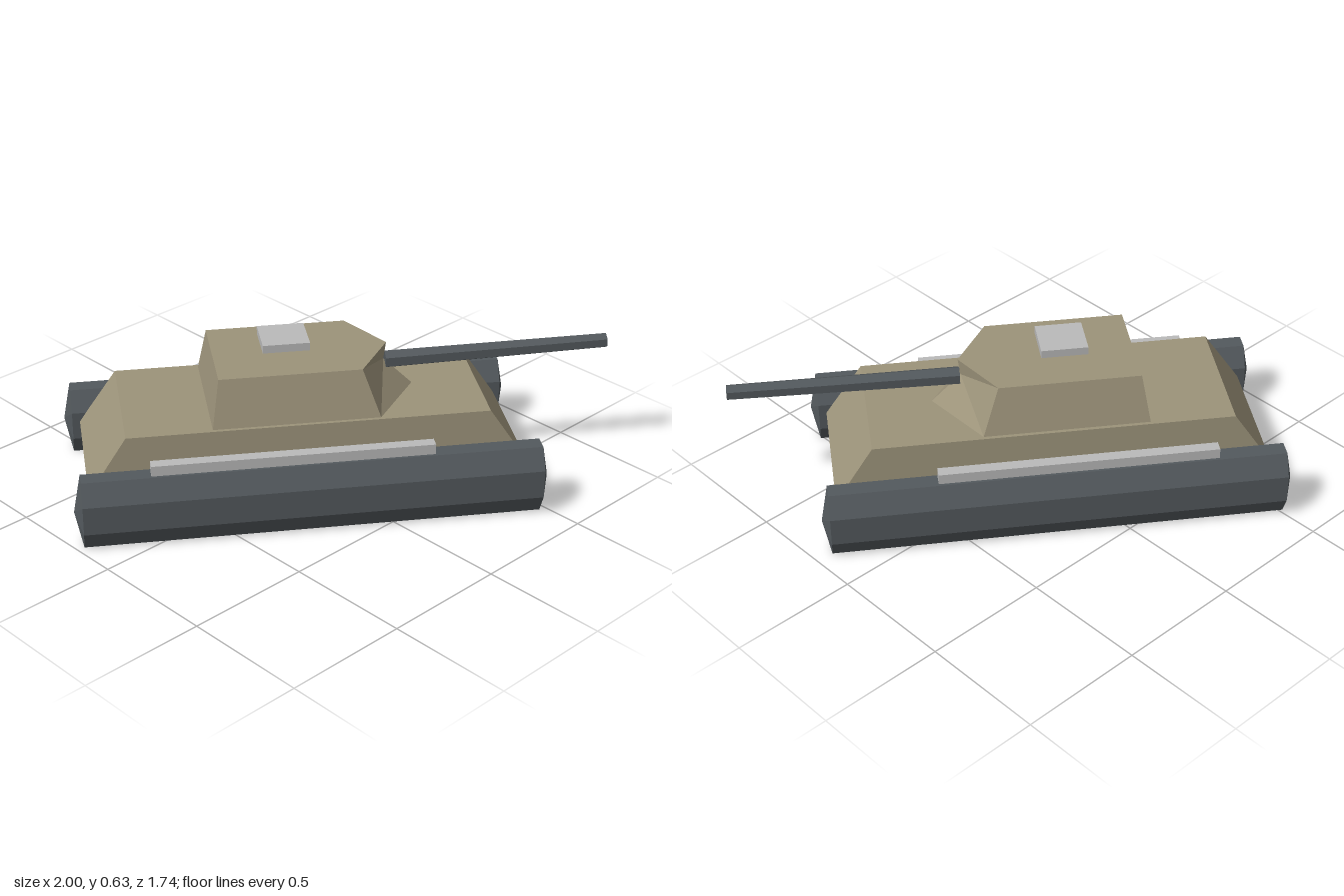
import * as THREE from 'three';

const flat = (name, color) => {
  const m = new THREE.MeshStandardMaterial({ color, flatShading: true });
  m.name = name;
  return m;
};

export function createModel() {
  const armour = flat('tan armour', 0x9c937a);
  const steel = flat('dark steel', 0x53595d);
  const metal = flat('light metal', 0xbababa);

  const model = new THREE.Group();
  model.name = 'tank';
  // The vehicle stands diagonally; inside this group it points along +z
  const body = new THREE.Group();
  body.name = 'body';
  body.rotation.y = 0.962;
  body.position.x = -0.02;
  model.add(body);

  const add = (name, geometry, material, x = 0, y = 0, z = 0) => {
    const mesh = new THREE.Mesh(geometry, material);
    mesh.name = name;
    mesh.position.set(x, y, z);
    body.add(mesh);
    return mesh;
  };

  // Hull: box narrowed towards its top
  const hull = new THREE.BoxGeometry(0.58, 0.225, 1.7);
  const p = hull.attributes.position;
  for (let i = 0; i < p.count; i++) {
    if (p.getY(i) > 0) p.setXYZ(i, p.getX(i) * 0.945, p.getY(i), p.getZ(i) * 0.824);
  }
  hull.computeVertexNormals();
  add('hull', hull, armour, 0, 0.2725, 0);

  add('turret', turretGeometry(), armour);
  add('hatch', new THREE.BoxGeometry(0.172, 0.032, 0.182), metal, 0, 0.619, -0.063);

  // Gun barrel: tapered hexagonal rod, slightly raised
  const barrel = new THREE.CylinderGeometry(0.031, 0.037, 0.89, 6).rotateX(Math.PI / 2);
  add('gunBarrel', barrel, steel, 0, 0.503, 0.78).rotation.x = -0.015;

  // Tracks: stretched octagonal prisms with shallow pointed ends
  const r = 1 / Math.cos(Math.PI / 8);
  const profile = [[0, -0.91], [r, -0.88], [r, 0.88], [0, 0.91]].map(a => new THREE.Vector2(...a));
  const track = new THREE.LatheGeometry(profile, 8, Math.PI / 8)
    .rotateX(Math.PI / 2).scale(0.079, 0.14, 1);
  const rail = new THREE.BoxGeometry(0.045, 0.045, 1.08);
  for (const [side, s] of [['left', 1], ['right', -1]]) {
    add(side + 'Track', track, steel, s * 0.366, 0.14, 0);
    add(side + 'TrackRail', rail, metal, s * 0.366, 0.299, -0.077);
  }
  return model;
}

// Turret: sloped pentagon with a recessed nose, half built and mirrored
function turretGeometry() {
  const top = 0.57, base = 0.385;
  const tC = [0, top, -0.34], tB = [0.21, top, -0.34], tS = [0.21, top, 0.21], tN = [0, top, 0.34];
  const bC = [0, base, -0.37], bB = [0.26, base, -0.37], bS = [0.26, base, 0.275], bN = [0, base, 0.445];
  const mid = [0, 0.5, 0.33];
  const faces = [
    [bS, bB, tB, tS], [bB, bC, tC, tB], [tC, tN, tS, tB], [bC, bB, bS, bN],
    [tN, mid, tS], [mid, bS, tS], [mid, bN, bS],
  ];
  const out = [];
  for (const f of faces) {
    for (let i = 1; i < f.length - 1; i++) {
      const tri = [f[0], f[i], f[i + 1]];
      out.push(...tri.flat());
      out.push(...tri.reverse().map(([x, y, z]) => [-x, y, z]).flat());
    }
  }
  const g = new THREE.BufferGeometry();
  g.setAttribute('position', new THREE.Float32BufferAttribute(out, 3));
  g.computeVertexNormals();
  return g;
}
